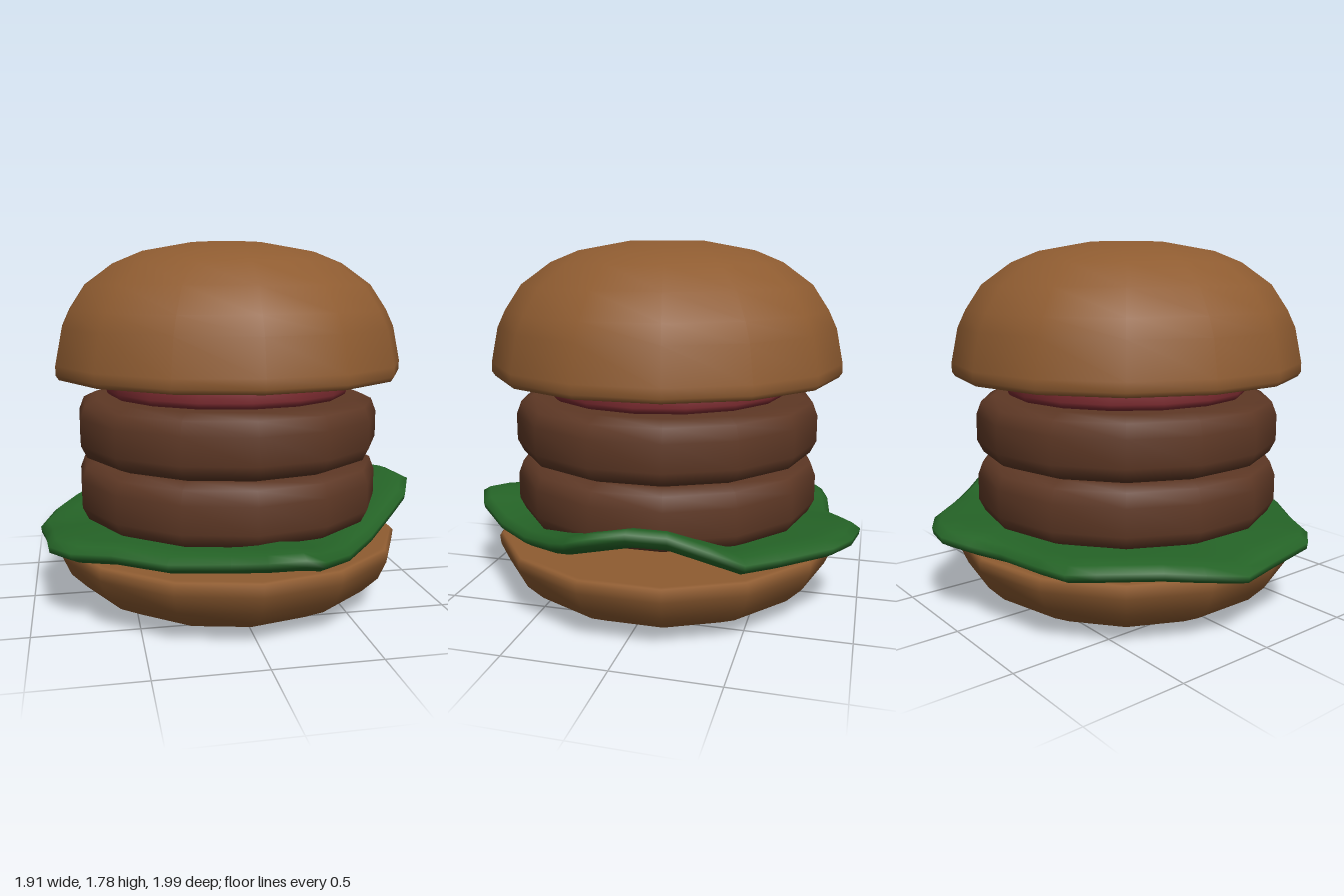
import * as THREE from 'three';

const material = (name, color) => {
  const m = new THREE.MeshStandardMaterial({ color });
  m.name = name;
  return m;
};

// Closed round part turned from [radius, height] pairs, bottom to top
function turned(name, profile, sides, mat) {
  const points = profile.map(([r, y]) => new THREE.Vector2(r, y));
  const mesh = new THREE.Mesh(new THREE.LatheGeometry(points, sides), mat);
  mesh.name = name;
  return mesh;
}

// Lettuce rim: x, z, height
const RIM = [
  [0.13, -1, 0.41], [0.29, -0.97, 0.41], [0.43, -0.89, 0.41], [0.62, -0.68, 0.41], [0.75, -0.54, 0.42],
  [0.82, -0.4, 0.49], [0.85, -0.22, 0.55], [0.9, -0.05, 0.57], [0.955, 0.12, 0.55], [0.9, 0.23, 0.5],
  [0.79, 0.34, 0.45], [0.6, 0.55, 0.39], [0.42, 0.76, 0.38], [0.25, 0.94, 0.42], [0.15, 0.99, 0.45],
  [0, 0.94, 0.43], [-0.14, 0.84, 0.4], [-0.4, 0.74, 0.38], [-0.63, 0.58, 0.38], [-0.81, 0.49, 0.37],
  [-0.91, 0.37, 0.37], [-0.93, 0.1, 0.34], [-0.96, -0.08, 0.33], [-0.89, -0.27, 0.36], [-0.8, -0.43, 0.38],
  [-0.65, -0.68, 0.39], [-0.55, -0.77, 0.38], [-0.4, -0.81, 0.38], [-0.14, -0.84, 0.37], [0, -0.93, 0.39],
];

// Wavy leaf: rings of the rim outline, over the top, round the edge and back underneath
function lettuceGeometry() {
  const rings = [
    [0, 0.045], [0.45, 0.045], [0.7, 0.045], [0.86, 0.045], [0.96, 0.038], [1, 0.01],
    [0.995, -0.02], [0.95, -0.042], [0.86, -0.045], [0.7, -0.045], [0.45, -0.045], [0, -0.045],
  ];
  const n = RIM.length, base = 0.37, pos = [], index = [];
  rings.forEach(([s, dy], j) => {
    RIM.forEach(([x, z, y], i) => {
      pos.push(x * s, base + (y - base) * s * s + dy, z * s);
      if (j === rings.length - 1) return;
      const a = j * n + i, b = j * n + (i + 1) % n;
      index.push(a, b, a + n, b, b + n, a + n);
    });
  });
  const g = new THREE.BufferGeometry();
  g.setAttribute('position', new THREE.Float32BufferAttribute(pos, 3));
  g.setIndex(index);
  g.computeVertexNormals();
  return g;
}

export function createModel() {
  const bun = material('bun brown', 0x8f5c31);
  const meat = material('patty brown', 0x5e3825);
  const leaf = material('lettuce green', 0x256427);
  const red = material('tomato red', 0x7d2c31);
  const group = new THREE.Group();
  group.name = 'hamburger';

  group.add(turned('bottomBun', [
    [0, 0], [0.5, 0], [0.62, 0.02], [0.75, 0.09], [0.83, 0.17], [0.87, 0.26],
    [0.875, 0.305], [0.86, 0.32], [0.84, 0.322], [0, 0.322],
  ], 14, bun));

  const lettuce = new THREE.Mesh(lettuceGeometry(), leaf);
  lettuce.name = 'lettuce';
  group.add(lettuce);

  // Two stacked patties
  ['lowerPatty', 'upperPatty'].forEach((name, i) => {
    const patty = turned(name, [
      [0, 0], [0.66, 0], [0.735, 0.03], [0.765, 0.09], [0.765, 0.22], [0.74, 0.285], [0.68, 0.313], [0, 0.313],
    ], 14, meat);
    patty.position.y = 0.412 + i * 0.306;
    group.add(patty);
  });

  group.add(turned('tomatoSlice', [
    [0, 1.02], [0.585, 1.025], [0.605, 1.04], [0.612, 1.06], [0.612, 1.1], [0.605, 1.12], [0.585, 1.132], [0, 1.135],
  ], 16, red));

  group.add(turned('topBun', [
    [0, 1.13], [0.84, 1.13], [0.86, 1.133], [0.875, 1.155], [0.875, 1.2], [0.84, 1.37], [0.8, 1.455],
    [0.72, 1.575], [0.575, 1.68], [0.44, 1.735], [0.19, 1.78], [0, 1.782],
  ], 14, bun));

  return group;
}
